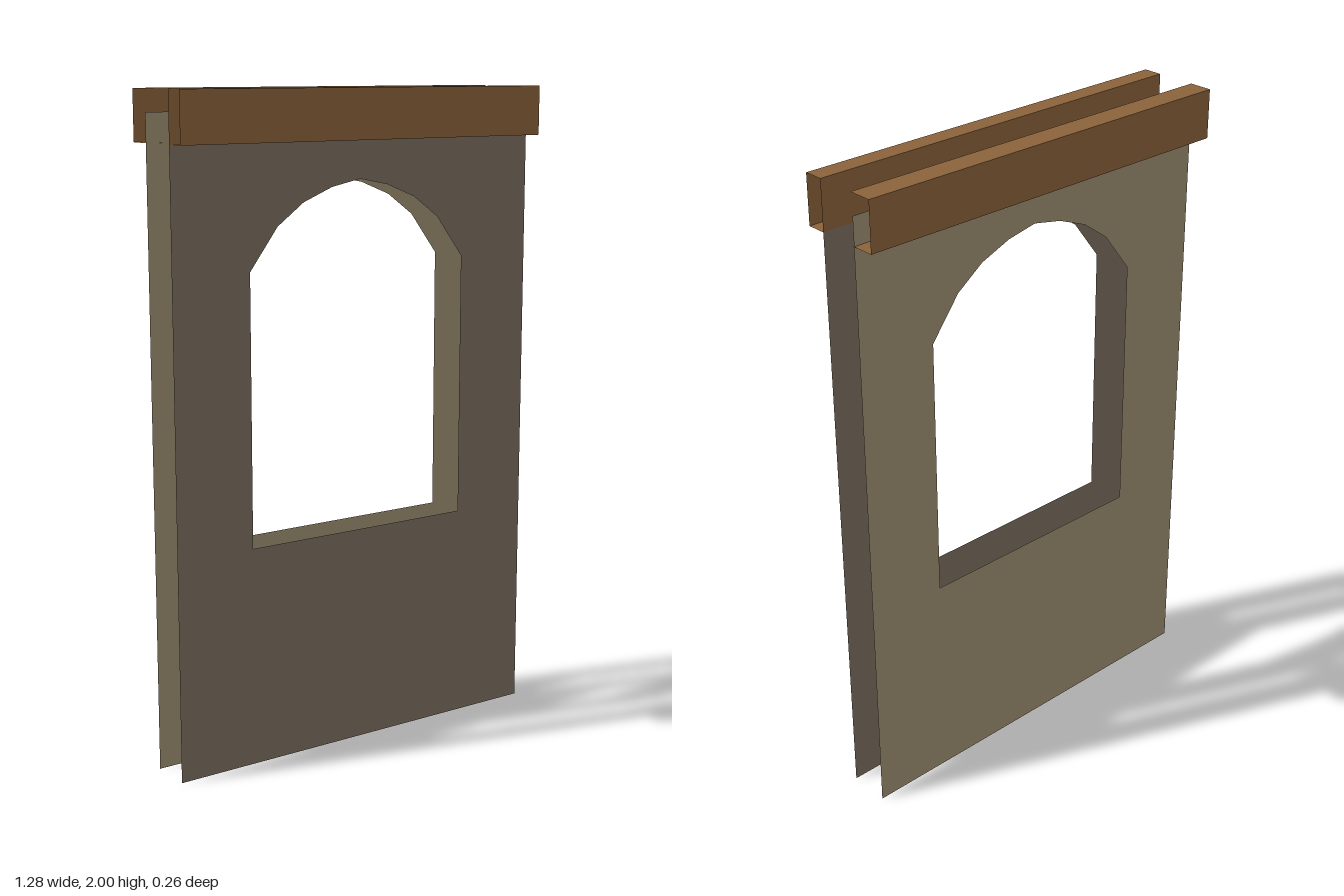
import * as THREE from 'three';

const HALF = 0.64;

// Flat wall sheet with an arched window opening
function wallSheet(name, top, z, material) {
  const shape = new THREE.Shape();
  shape.moveTo(-HALF, 0).lineTo(HALF, 0).lineTo(HALF, top).lineTo(-HALF, top).closePath();
  const arch = [[0.385, 1.485], [0.29, 1.61], [0.2, 1.675], [0.1, 1.715]];
  const mirrored = arch.map(([x, y]) => [-x, y]).reverse();
  const outline = [[0.385, 0.67], ...arch, [0, 1.735], ...mirrored, [-0.385, 0.67]];
  shape.holes.push(new THREE.Path(outline.map(([x, y]) => new THREE.Vector2(x, y))));
  const mesh = new THREE.Mesh(new THREE.ShapeGeometry(shape), material);
  mesh.name = name;
  mesh.position.z = z;
  return mesh;
}

// Hollow beam: a z-y section swept along x, with open ends
function openBeam(name, section, material) {
  const group = new THREE.Group();
  group.name = name;
  for (let i = 0; i < section.length - 1; i++) {
    const [z0, y0] = section[i], [z1, y1] = section[i + 1];
    const geometry = new THREE.BufferGeometry();
    geometry.setAttribute('position', new THREE.Float32BufferAttribute([
      -HALF, y0, z0, HALF, y0, z0, HALF, y1, z1, -HALF, y1, z1], 3));
    geometry.setIndex([0, 1, 2, 0, 2, 3]);
    geometry.computeVertexNormals();
    const face = new THREE.Mesh(geometry, material);
    face.name = name + 'Board' + i;
    group.add(face);
  }
  return group;
}

export function createModel() {
  const make = (name, color) => {
    const m = new THREE.MeshStandardMaterial({ color, side: THREE.DoubleSide });
    m.name = name;
    return m;
  };
  const darkPlaster = make('dark plaster', 0x7d7060);
  const lightPlaster = make('light plaster', 0x9e9073);
  const wood = make('brown wood', 0x8b633b);

  const model = new THREE.Group();
  model.name = 'windowWall';

  // Two wall sheets with a gap between them
  model.add(wallSheet('frontWall', 1.85, 0.07, darkPlaster));
  model.add(wallSheet('backWall', 1.935, -0.06, lightPlaster));

  // Front beam is a closed tube; back beam is open towards the wall
  model.add(openBeam('frontBeam',
    [[0.07, 1.85], [0.13, 1.85], [0.13, 2], [0.07, 2], [0.07, 1.85]], wood));
  model.add(openBeam('backBeam',
    [[-0.056, 2], [-0.13, 2], [-0.13, 1.85], [-0.056, 1.85]], wood));

  return model;
}
